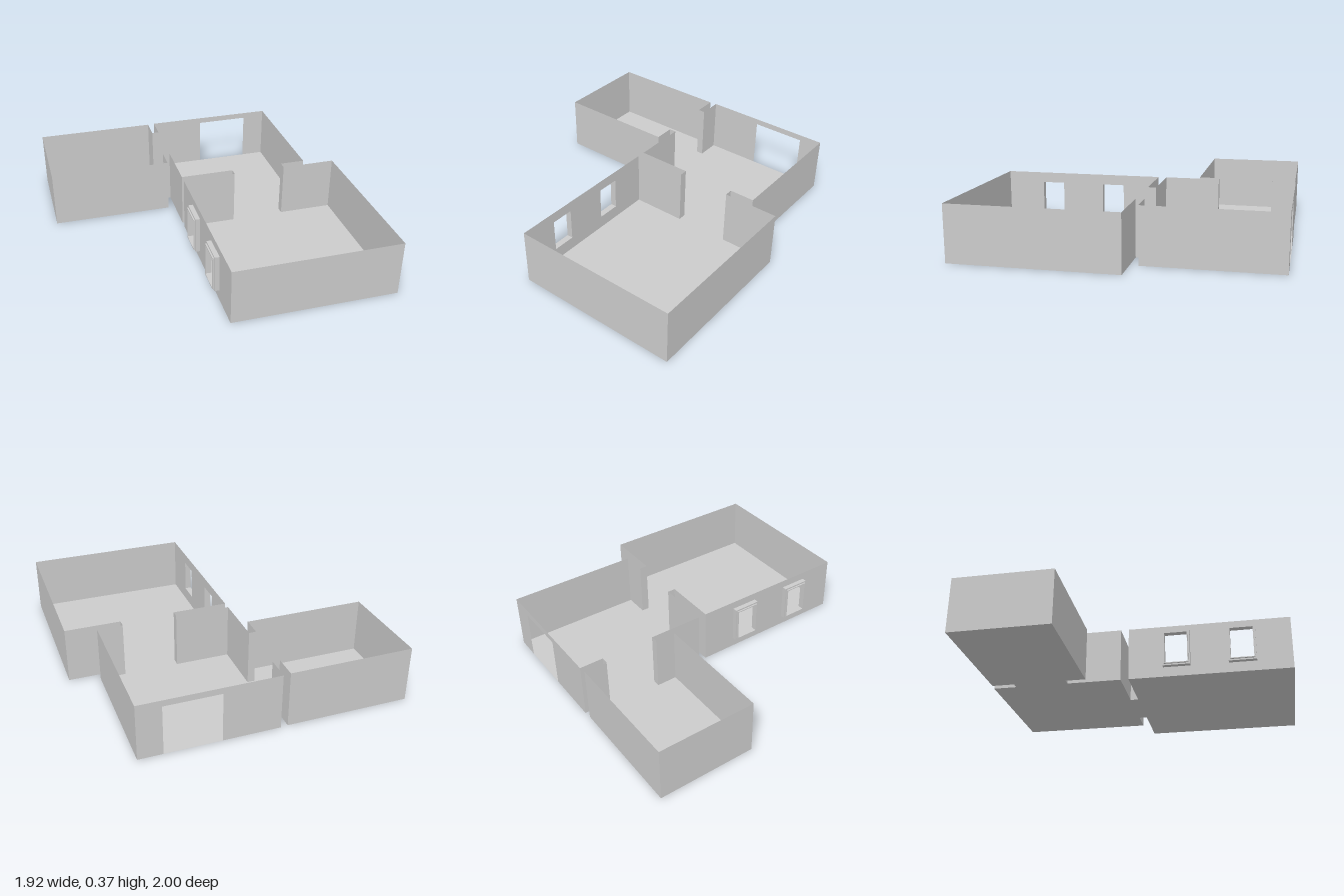
import * as THREE from 'three';

const HEIGHT = 0.365;

// Outline of the three joined rooms as [x, z], counter-clockwise seen from above
const OUTLINE = [
  [-0.113, 1], [0.96, 1], [0.96, -0.077], [0.6, -0.077], [0.6, -0.13], [0.765, -0.13], [0.765, -1],
  [-0.113, -1], [-0.113, -0.845], [-0.16, -0.845], [-0.16, -0.995], [-0.96, -0.995], [-0.96, -0.355],
  [-0.16, -0.355], [-0.16, -0.49], [-0.113, -0.49], [-0.113, -0.13], [0.245, -0.13], [0.245, -0.077],
  [-0.113, -0.077],
];
const DOOR_WALL = 6;
const WINDOW_WALL = 19;
const DOOR = { from: 0.155, to: 0.512, top: 0.325 };
const WINDOWS = [0.245, 0.677].map((z) => z + 0.077); // centres along the wall
const WINDOW = { y: 0.19, width: 0.182, height: 0.245 };

const material = new THREE.MeshStandardMaterial({ color: 0xcccccc, side: THREE.DoubleSide });

function addMesh(parent, name, geometry) {
  const mesh = new THREE.Mesh(geometry, material);
  mesh.name = name;
  parent.add(mesh);
  return mesh;
}

function rectangle(Type, cx, cy, w, h) {
  const x = w / 2, y = h / 2;
  return new Type([[-x, -y], [x, -y], [x, y], [-x, y]].map(([a, b]) => new THREE.Vector2(cx + a, cy + b)));
}

// Rectangular ring with a see-through opening
function frameRing(width, height, depth) {
  const ring = rectangle(THREE.Shape, 0, 0, width, height);
  ring.holes.push(rectangle(THREE.Path, 0, 0, WINDOW.width - 0.032, WINDOW.height - 0.032));
  return new THREE.ExtrudeGeometry(ring, { depth, bevelEnabled: false });
}

// Window frame in two steps, standing out from the wall
function createWindow(u) {
  const frame = new THREE.Group();
  frame.name = 'windowFrame';
  addMesh(frame, 'frameBase', frameRing(WINDOW.width, WINDOW.height, 0.031));
  addMesh(frame, 'frameLip', frameRing(WINDOW.width - 0.02, WINDOW.height - 0.02, 0.01)).position.z = 0.031;
  frame.position.set(u, WINDOW.y, 0);
  return frame;
}

// Wall drawn flat with its outer side towards local +z
function wallShape(length, index) {
  const points = [[0, 0]];
  if (index === DOOR_WALL) {
    points.push([DOOR.from, 0], [DOOR.from, DOOR.top], [DOOR.to, DOOR.top], [DOOR.to, 0]);
  }
  points.push([length, 0], [length, HEIGHT], [0, HEIGHT]);
  const shape = new THREE.Shape(points.map(([x, y]) => new THREE.Vector2(x, y)));
  if (index === WINDOW_WALL) {
    for (const u of WINDOWS) {
      shape.holes.push(rectangle(THREE.Path, u, WINDOW.y, WINDOW.width, WINDOW.height));
    }
  }
  return shape;
}

export function createModel() {
  const model = new THREE.Group();
  model.name = 'roomLayout';

  // Floor
  const floor = new THREE.Shape(OUTLINE.map(([x, z]) => new THREE.Vector2(x, -z)));
  addMesh(model, 'floor', new THREE.ShapeGeometry(floor).rotateX(-Math.PI / 2));

  // Walls, one for each edge of the outline
  OUTLINE.forEach(([x, z], i) => {
    const [nx, nz] = OUTLINE[(i + 1) % OUTLINE.length];
    const length = Math.hypot(nx - x, nz - z);
    const wall = new THREE.Group();
    wall.name = i === DOOR_WALL ? 'doorwayWall' : i === WINDOW_WALL ? 'windowWall' : 'wall';
    addMesh(wall, 'wallPanel', new THREE.ShapeGeometry(wallShape(length, i)));
    if (i === WINDOW_WALL) WINDOWS.forEach((u) => wall.add(createWindow(u)));
    wall.position.set(x, 0, z);
    wall.rotation.y = Math.atan2(z - nz, nx - x);
    model.add(wall);
  });

  return model;
}
